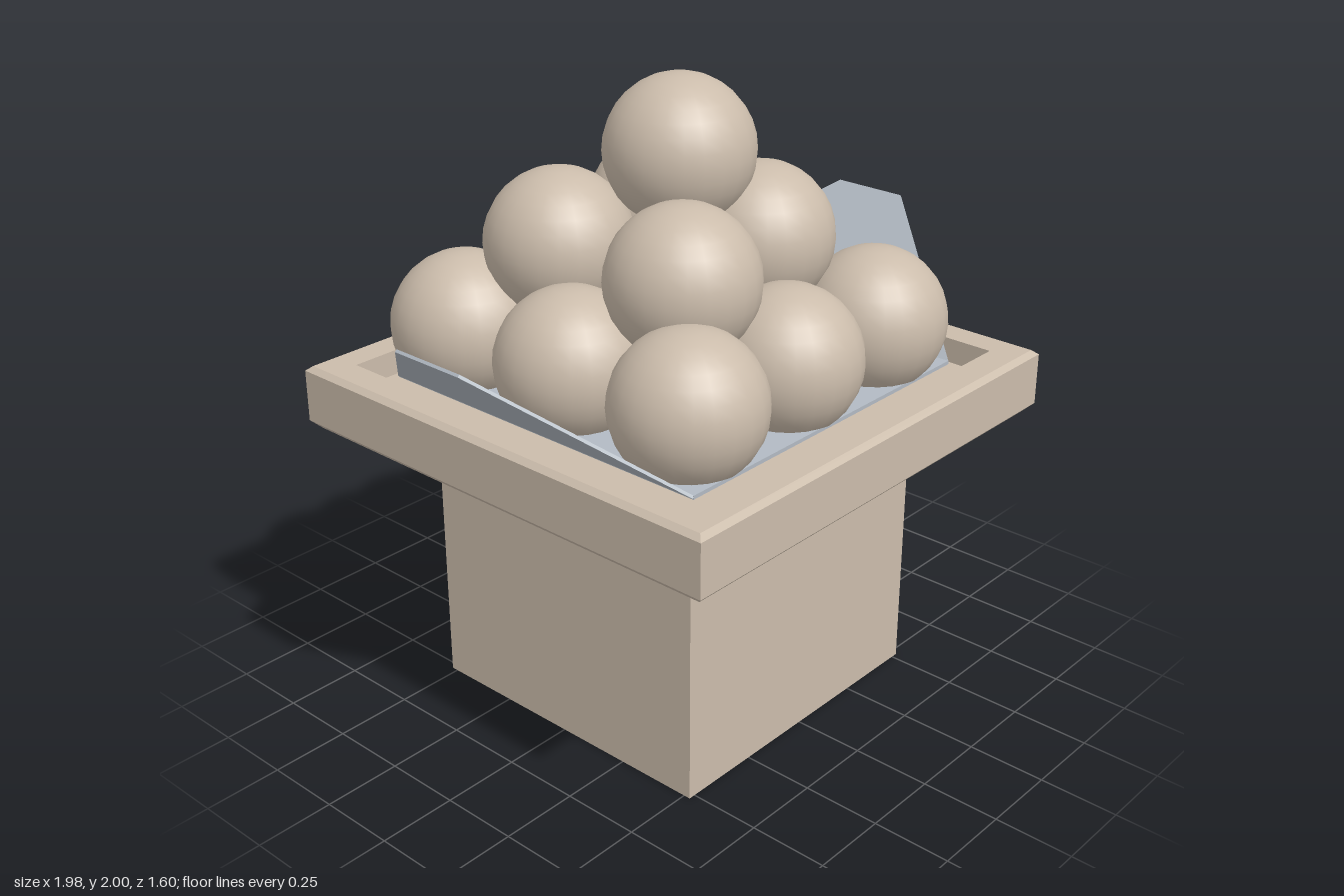
import * as THREE from 'three';

const stone = new THREE.MeshStandardMaterial({ color: 0xcbbcab });
stone.name = 'warm stone';
const paper = new THREE.MeshStandardMaterial({ color: 0xb2bac3 });
paper.name = 'pale blue paper';

// Square solid turned from a profile of [half width, height] points
function squareTurned(profile) {
  const points = profile.map(([half, y]) => new THREE.Vector2(half * Math.SQRT2, y));
  const geometry = new THREE.LatheGeometry(points, 4, Math.PI / 4).toNonIndexed();
  geometry.computeVertexNormals();
  return geometry;
}

export function createModel() {
  const model = new THREE.Group();
  model.name = 'spherePyramidOnPedestal';

  function add(name, geometry, material, parent = model) {
    const mesh = new THREE.Mesh(geometry, material);
    mesh.name = name;
    parent.add(mesh);
    return mesh;
  }

  // Hollow pedestal, open underneath
  add('pedestal', squareTurned([
    [0, 0.885], [0.43, 0.885], [0.43, 0], [0.522, 0], [0.522, 0.9],
  ]), stone);

  // Chamfered tray with a shallow recess
  add('tray', squareTurned([
    [0, 0.89], [0.772, 0.89], [0.8, 0.918], [0.8, 1.085],
    [0.782, 1.1], [0.69, 1.1], [0.69, 1.02], [0, 1.02],
  ]), stone);

  // Paper sheet with a tapered flap rising on each side
  add('paperSheet', new THREE.BoxGeometry(1.2, 0.012, 1.2), paper).position.y = 1.064;

  const rise = 0.34, run = 0.385;
  const length = Math.hypot(rise, run);
  const outline = new THREE.Shape([
    new THREE.Vector2(0, -0.6), new THREE.Vector2(length, -0.125),
    new THREE.Vector2(length, 0.125), new THREE.Vector2(0, 0.6),
  ]);
  const flapGeometry = new THREE.ExtrudeGeometry(outline, { depth: 0.009, bevelEnabled: false });
  flapGeometry.rotateX(-Math.PI / 2);
  flapGeometry.rotateZ(Math.atan2(rise, run));
  flapGeometry.translate(0.603, 1.062, 0);
  add('leftFlap', flapGeometry, paper);
  add('rightFlap', flapGeometry, paper).rotation.y = Math.PI;

  // Pyramid of stacked balls: nine, four and one
  const balls = new THREE.Group();
  balls.name = 'ballPyramid';
  model.add(balls);
  const ballGeometry = new THREE.SphereGeometry(0.229, 24, 16);
  const centres = [];
  for (const x of [-0.44, -0.01, 0.41]) {
    for (const z of [-0.46, -0.01, 0.44]) centres.push([x, 1.228, z]);
  }
  centres.push(
    [-0.25, 1.49, -0.24], [0.195, 1.49, -0.24],
    [0.195, 1.49, 0.165], [-0.25, 1.49, 0.25],
    [-0.005, 1.771, 0.02],
  );
  for (const centre of centres) add('ball', ballGeometry, stone, balls).position.set(...centre);

  return model;
}
